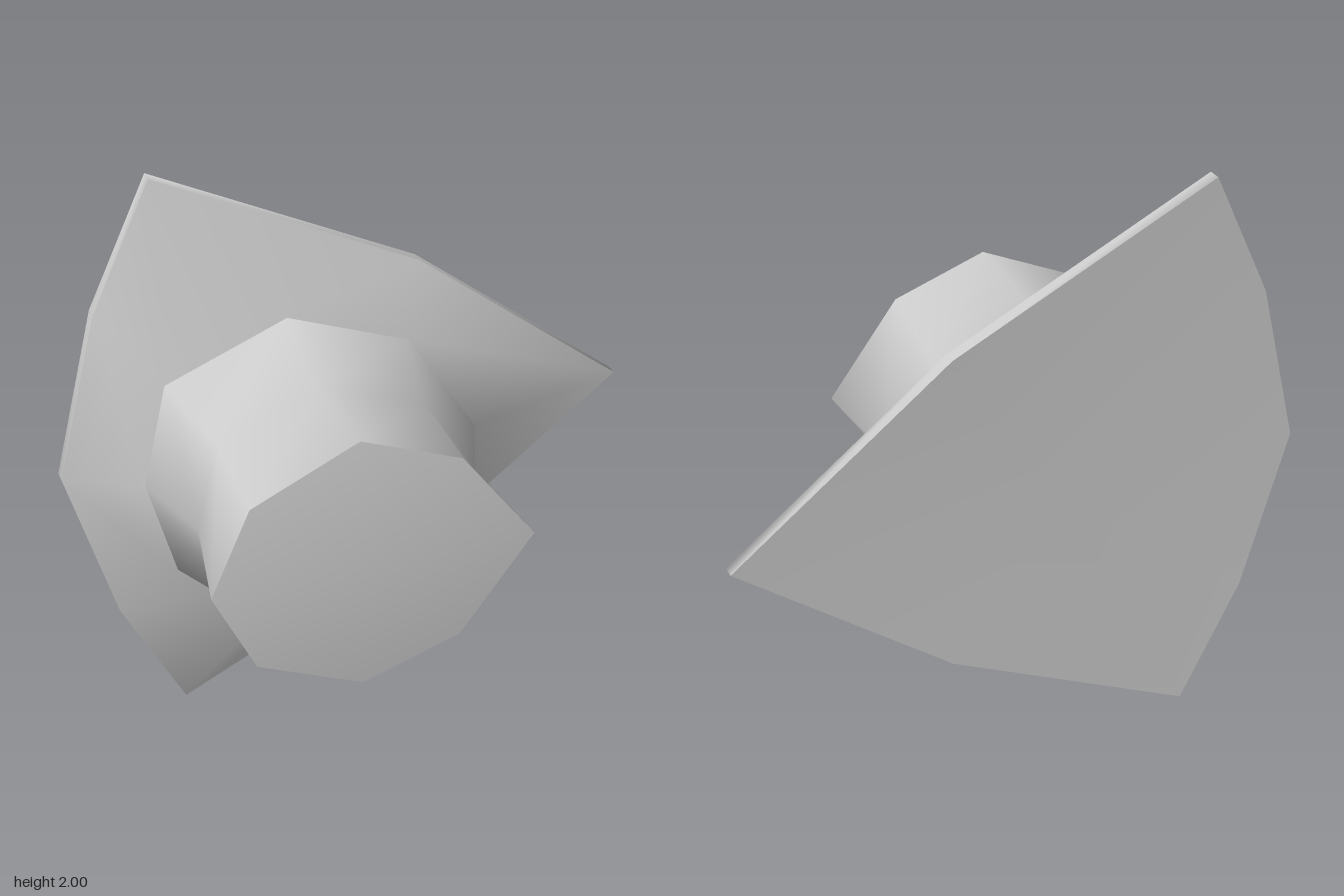
import * as THREE from 'three';
import { mergeVertices } from 'three/addons/utils/BufferGeometryUtils.js';

// Ring of eight corners from five [x, height above the axis, z] stations,
// mirrored below the axis at y = 1.
function ring(stations) {
  const upper = stations.map(([x, h, z]) => [x, 1 + h, z]);
  const lower = stations.slice(1, 4).reverse().map(([x, h, z]) => [x, 1 - h, z]);
  return [...upper, ...lower];
}

const point = (x, z) => Array.from({ length: 8 }, () => [x, 1, z]);

// Smooth skin through successive rings; separate skins meet in a crease.
function skin(rings) {
  const index = [];
  for (let r = 0; r < rings.length - 1; r++) {
    for (let i = 0; i < 8; i++) {
      const j = (i + 1) % 8;
      const a = r * 8 + i, b = r * 8 + j, c = a + 8, d = b + 8;
      index.push(a, c, b, b, c, d);
    }
  }
  const geometry = new THREE.BufferGeometry();
  geometry.setAttribute('position', new THREE.Float32BufferAttribute(rings.flat(2), 3));
  geometry.setIndex(index);
  const merged = mergeVertices(geometry, 1e-4);
  merged.computeVertexNormals();
  return merged;
}

export function createModel() {
  const model = new THREE.Group();
  const grey = new THREE.MeshStandardMaterial({ color: 0xcccccc });
  grey.name = 'plain grey';

  // Flared flange, pointed towards the back
  const flangeBack = ring([
    [-0.58, 0, 0.935], [-0.543, 0.57, 0.79], [-0.49, 1, 0.59], [-0.256, 0.57, -0.25], [-0.06, 0, -0.95],
  ]);
  const flangeFront = flangeBack.map(([x, y, z]) => [x + 0.042, y, z + 0.011]);
  // Neck foot, waist and end of the knob
  const foot = ring([
    [-0.35, 0, 0.745], [-0.33, 0.355, 0.66], [-0.22, 0.52, 0.27], [-0.1, 0.37, -0.11], [-0.03, 0, -0.335],
  ]);
  const waist = ring([
    [-0.05, 0, 0.73], [-0.03, 0.29, 0.655], [0.05, 0.42, 0.34], [0.14, 0.29, 0], [0.19, 0, -0.17],
  ]);
  const end = ring([
    [0.285, 0, 0.885], [0.32, 0.29, 0.76], [0.41, 0.45, 0.43], [0.51, 0.33, 0.13], [0.575, 0, -0.105],
  ]);

  const parts = {
    flangeBack: [point(-0.335, 0.1), flangeBack],
    flangeRim: [flangeBack, flangeFront],
    flangeFront: [flangeFront, foot],
    knobSide: [foot, waist, end],
    knobEnd: [end, point(0.465, 0.44)],
  };
  for (const [name, rings] of Object.entries(parts)) {
    const mesh = new THREE.Mesh(skin(rings), grey);
    mesh.name = name;
    model.add(mesh);
  }
  return model;
}
